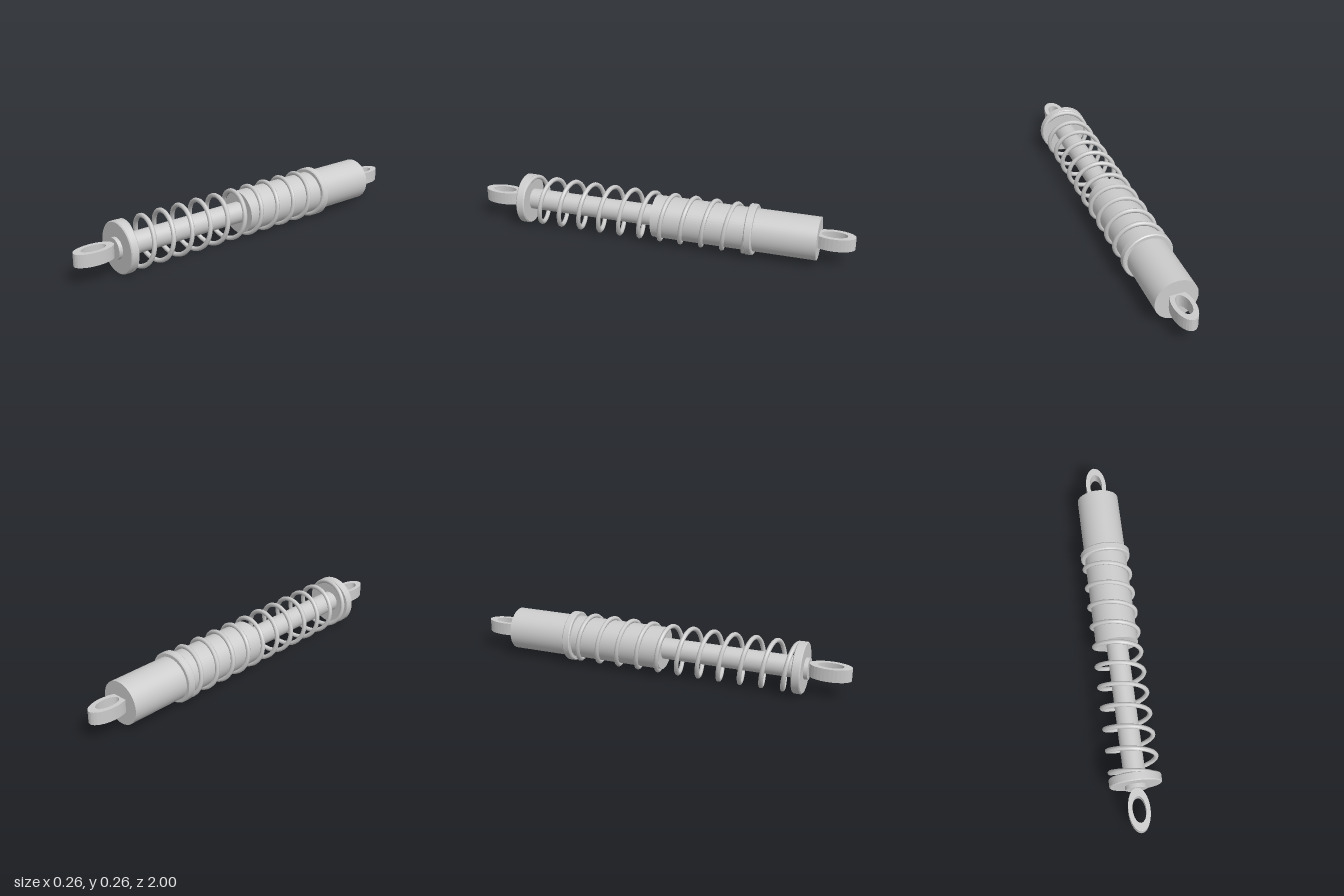
import * as THREE from 'three';

const AXIS_Y = 0.132; // height of the long axis
const material = new THREE.MeshStandardMaterial({ color: 0xcccccc });

class HelixCurve extends THREE.Curve {
  constructor(radius, z0, z1, pitch, topZ) {
    super();
    Object.assign(this, { radius, z0, z1, pitch, topZ });
  }
  getPoint(t, target = new THREE.Vector3()) {
    const z = this.z0 + (this.z1 - this.z0) * t;
    const a = ((z - this.topZ) / this.pitch) * Math.PI * 2;
    return target.set(Math.sin(a) * this.radius, Math.cos(a) * this.radius, z);
  }
}

export function createModel() {
  const model = new THREE.Group();
  const add = (name, geometry, z = 0) => {
    const mesh = new THREE.Mesh(geometry, material);
    mesh.name = name;
    mesh.position.set(0, AXIS_Y, z);
    model.add(mesh);
  };

  // Round bar along z
  const bar = (radius, z0, z1) =>
    new THREE.CylinderGeometry(radius, radius, z1 - z0, 48).rotateX(Math.PI / 2).translate(0, 0, (z0 + z1) / 2);

  // Spring seat: disc with a fine chamfer, flat faces kept crisp
  const seat = (radius, z0, z1, c = 0.005) => {
    const p = [[0, z0], [radius - c, z0], [radius - c, z0], [radius, z0 + c], [radius, z0 + c],
      [radius, z1 - c], [radius, z1 - c], [radius - c, z1], [radius - c, z1], [0, z1]];
    return new THREE.LatheGeometry(p.map(([r, z]) => new THREE.Vector2(r, z)), 64).rotateX(Math.PI / 2);
  };

  // Oval mounting eye with a hole through its height
  const eye = () => {
    const shape = new THREE.Shape().absellipse(0, 0, 0.054, 0.106, 0, Math.PI * 2);
    shape.holes.push(new THREE.Path().absellipse(0, 0, 0.033, 0.065, 0, Math.PI * 2, true));
    return new THREE.ExtrudeGeometry(shape, { depth: 0.066, bevelEnabled: false, curveSegments: 16 })
      .translate(0, 0, -0.033).rotateX(Math.PI / 2);
  };

  add('damperBody', bar(0.11, -0.82, 0.03));
  add('pistonRod', bar(0.055, 0.02, 0.79));
  add('frontSpringSeat', seat(0.131, 0.725, 0.77));
  add('rearSpringSeat', seat(0.131, -0.5, -0.46));
  add('frontEye', eye(), 0.894);
  add('rearEye', eye(), -0.894);

  // Coil spring, with ends buried in the seats
  const helix = new HelixCurve(0.1192, -0.48, 0.745, 0.1105, 0.057);
  add('coilSpring', new THREE.TubeGeometry(helix, 530, 0.0118, 8));

  return model;
}
